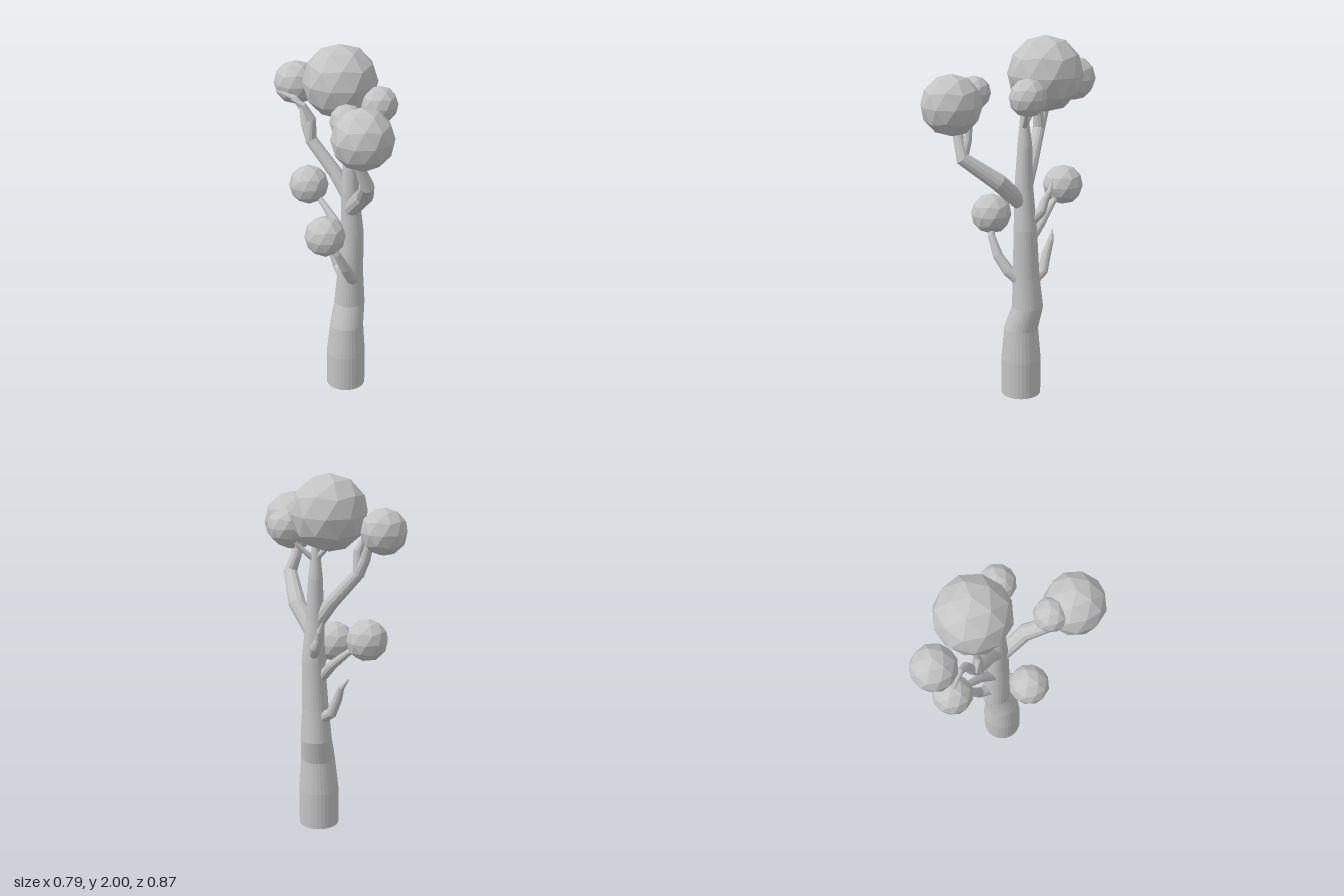
import * as THREE from 'three';

// Tapered limb swept through [x, y, z, radius] stations, closed at both ends
function limbGeometry(stations, sides, level = false) {
  const pts = stations.map(([x, y, z]) => new THREE.Vector3(x, y, z));
  const pos = [], index = [];
  const normal = new THREE.Vector3(0, 0, 1);
  pts.forEach((p, i) => {
    const a = pts[Math.max(i - 1, 0)], b = pts[Math.min(i + 1, pts.length - 1)];
    const dir = level ? new THREE.Vector3(0, 1, 0) : b.clone().sub(a).normalize();
    normal.addScaledVector(dir, -normal.dot(dir)).normalize();
    const side = dir.clone().cross(normal);
    for (let s = 0; s < sides; s++) {
      const t = (s / sides) * Math.PI * 2;
      const v = p.clone()
        .addScaledVector(normal, Math.cos(t) * stations[i][3])
        .addScaledVector(side, Math.sin(t) * stations[i][3]);
      pos.push(v.x, v.y, v.z);
    }
  });
  for (let i = 0; i < pts.length - 1; i++) {
    for (let s = 0; s < sides; s++) {
      const n = (s + 1) % sides, a = i * sides + s, b = i * sides + n;
      index.push(a, b, b + sides, a, b + sides, a + sides);
    }
  }
  const last = (pts.length - 1) * sides;
  for (let s = 1; s < sides - 1; s++) {
    index.push(0, s + 1, s, last, last + s, last + s + 1);
  }
  const g = new THREE.BufferGeometry();
  g.setAttribute('position', new THREE.Float32BufferAttribute(pos, 3));
  g.setIndex(index);
  const flat = g.toNonIndexed();
  flat.computeVertexNormals();
  return flat;
}

export function createModel() {
  const tree = new THREE.Group();
  tree.name = 'tree';
  const grey = new THREE.MeshStandardMaterial({ color: 0xc4c4c4, flatShading: true });
  grey.name = 'plain grey';

  const add = (name, geometry) => {
    const mesh = new THREE.Mesh(geometry, grey);
    mesh.name = name;
    tree.add(mesh);
    return mesh;
  };

  // Trunk: level rings, gently bent and tapering to a point
  add('trunk', limbGeometry([
    [0.075, 0, -0.075, 0.11], [0.075, 0.21, -0.075, 0.11],
    [0.079, 0.39, -0.076, 0.094], [0.085, 0.52, -0.112, 0.086],
    [0.09, 0.7, -0.104, 0.073], [0.1, 0.97, -0.1, 0.063],
    [0.09, 1.2, -0.09, 0.05], [0.087, 1.43, -0.094, 0.039],
    [0.085, 1.6, -0.09, 0.02], [0.085, 1.66, -0.09, 0.008],
  ], 32, true));

  // Branches and twigs
  const branches = {
    leftBranch: [[0.09, 1.1, -0.09, 0.045], [0.2, 1.25, 0.03, 0.048], [0.255, 1.385, 0.21, 0.037],
      [0.22, 1.5, 0.24, 0.027], [0.23, 1.6, 0.26, 0.018]],
    leftFork: [[0.25, 1.39, 0.21, 0.03], [0.215, 1.48, 0.19, 0.024], [0.2, 1.55, 0.185, 0.02],
      [0.14, 1.68, 0.17, 0.012]],
    rightBranch: [[0.09, 1.17, -0.09, 0.042], [0.0, 1.3, -0.115, 0.038], [-0.145, 1.47, -0.14, 0.034],
      [-0.14, 1.59, -0.135, 0.025], [-0.18, 1.67, -0.12, 0.016], [-0.245, 1.7, -0.11, 0.005]],
    rightFork: [[-0.14, 1.46, -0.14, 0.032], [-0.18, 1.55, -0.16, 0.027], [-0.2, 1.63, -0.18, 0.022],
      [-0.25, 1.68, -0.19, 0.017], [-0.355, 1.71, -0.195, 0.005]],
    lowerFrontBranch: [[0.115, 0.69, -0.06, 0.034], [0.115, 0.73, -0.01, 0.033], [0.1, 0.81, 0.05, 0.028],
      [0.065, 0.91, 0.09, 0.02], [0.02, 0.99, 0.1, 0.014]],
    lowerBackBranch: [[0.07, 0.86, -0.1, 0.032], [-0.01, 0.97, -0.17, 0.026], [-0.09, 1.05, -0.215, 0.019],
      [-0.17, 1.12, -0.26, 0.012]],
    backTwig: [[0.095, 1.01, -0.13, 0.03], [0.08, 1.07, -0.185, 0.028], [0.06, 1.12, -0.2, 0.022],
      [0.055, 1.17, -0.225, 0.016], [0.04, 1.22, -0.235, 0.004]],
    lowerTwig: [[0.05, 0.65, -0.13, 0.032], [-0.005, 0.7, -0.185, 0.03], [-0.04, 0.79, -0.2, 0.026],
      [-0.06, 0.86, -0.22, 0.018], [-0.1, 0.91, -0.225, 0.004]],
    crownTwig: [[0.085, 1.53, -0.09, 0.018], [0.03, 1.59, -0.12, 0.013], [-0.005, 1.63, -0.14, 0.012],
      [0.0, 1.72, -0.18, 0.01]],
    sideTwig: [[0.085, 1.52, -0.09, 0.018], [0.14, 1.57, -0.105, 0.014], [0.18, 1.61, -0.115, 0.012],
      [0.22, 1.68, -0.125, 0.01]],
  };
  for (const [name, stations] of Object.entries(branches)) add(name, limbGeometry(stations, 12));

  // Foliage balls: faceted spheres with a corner pointing straight up
  const ball = new THREE.IcosahedronGeometry(1, 1);
  ball.rotateZ(Math.atan(2 / (1 + Math.sqrt(5))));
  const foliage = [
    ['crownFoliage', 0.005, 1.797, -0.19, 0.203],
    ['leftFoliage', 0.242, 1.662, 0.267, 0.163],
    ['leftSmallFoliage', 0.135, 1.71, 0.168, 0.09],
    ['rightFoliage', -0.28, 1.729, -0.313, 0.122],
    ['sideFoliage', 0.234, 1.709, -0.129, 0.1],
    ['lowerBackFoliage', -0.198, 1.145, -0.27, 0.112],
    ['lowerFrontFoliage', 0.0, 1.018, 0.102, 0.112],
  ];
  for (const [name, x, y, z, r] of foliage) {
    const mesh = add(name, ball);
    mesh.position.set(x, y, z);
    mesh.scale.setScalar(r);
  }
  return tree;
}
